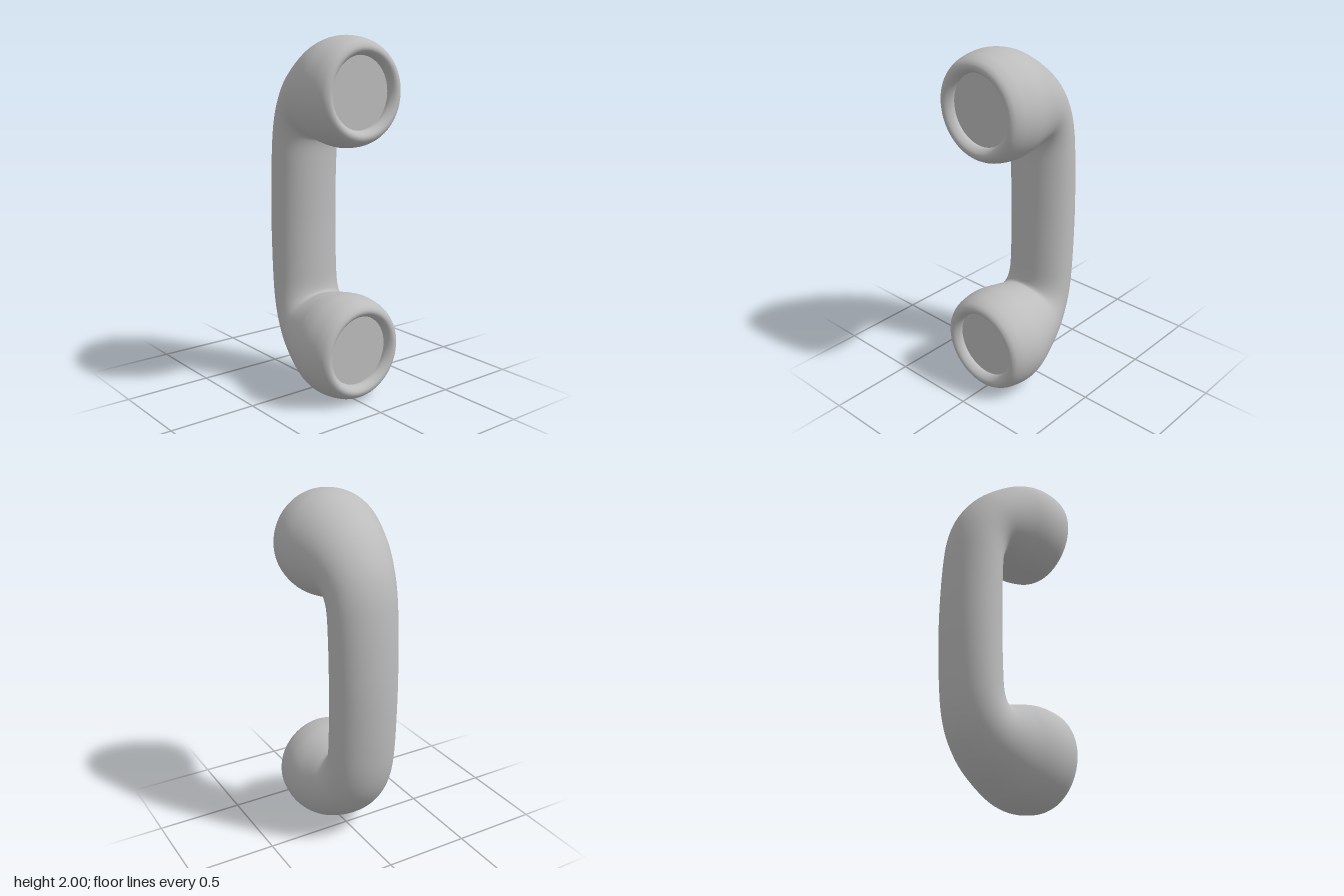
import * as THREE from 'three';

const grey = new THREE.MeshStandardMaterial({ color: 0xbcbcbc });
grey.name = 'plain grey';

const CUP_Y = 1.705; // height of the upper cup's centre
const DISC_R = 0.195;
const DISC_Z = 0.3;

// Round sections of the cup: [z, radius], from the recess over the lip to the widest point
const cup = [
  [DISC_Z, DISC_R], [0.32, 0.197], [0.34, 0.21], [0.35, 0.228],
  [0.345, 0.248], [0.325, 0.267], [0.28, 0.285], [0.2, 0.296],
];

// Oval sections of the bend and grip: [outer y, outer z, inner y, inner z, half width]
const bend = [
  [1.995, 0.13, 1.415, 0.13, 0.29],
  [1.97, 0.05, 1.425, 0.075, 0.271],
  [1.91, -0.05, 1.435, 0.03, 0.249],
  [1.83, -0.15, 1.443, 0.0, 0.228],
  [1.74, -0.225, 1.435, -0.013, 0.213],
  [1.64, -0.28, 1.41, -0.02, 0.204],
  [1.52, -0.315, 1.37, -0.024, 0.2],
  [1.38, -0.333, 1.3, -0.026, 0.199],
  [1.2, -0.345, 1.18, -0.028, 0.198],
];
const middle = [1.0, -0.35, 1.0, -0.03, 0.198];

function handsetGeometry(steps = 6, sides = 72) {
  const upper = [...cup.map(([z, r]) => [CUP_Y + r, z, CUP_Y - r, z, r]), ...bend];
  const lower = upper.map(([oy, oz, iy, iz, w]) => [2 - oy, oz, 2 - iy, iz, w]).reverse();
  const sections = [...upper, middle, ...lower];

  // Smooth curves through the outer edge, inner edge and width of the sections
  const curve = (f) => new THREE.CatmullRomCurve3(sections.map(f), false, 'catmullrom', 0.5);
  const outer = curve((s) => new THREE.Vector3(0, s[0], s[1]));
  const inner = curve((s) => new THREE.Vector3(0, s[2], s[3]));
  const width = curve((s) => new THREE.Vector3(s[4], 0, 0));

  const rings = (sections.length - 1) * steps;
  const positions = [];
  const index = [];
  for (let i = 0; i <= rings; i++) {
    const t = i / rings;
    const o = outer.getPoint(t);
    const n = inner.getPoint(t);
    const w = width.getPoint(t).x;
    const centre = o.clone().add(n).multiplyScalar(0.5);
    const half = o.sub(n).multiplyScalar(0.5);
    for (let j = 0; j < sides; j++) {
      const a = (j / sides) * Math.PI * 2;
      const s = Math.sin(a);
      positions.push(w * Math.cos(a), centre.y + half.y * s, centre.z + half.z * s);
      if (i < rings) {
        const p = i * sides + j;
        const q = i * sides + ((j + 1) % sides);
        index.push(p, p + sides, q, q, p + sides, q + sides);
      }
    }
  }
  const geometry = new THREE.BufferGeometry();
  geometry.setAttribute('position', new THREE.Float32BufferAttribute(positions, 3));
  geometry.setIndex(index);
  geometry.computeVertexNormals();
  return geometry;
}

export function createModel() {
  const group = new THREE.Group();
  group.name = 'handset';

  // Grip and both cups in one smooth sweep
  const body = new THREE.Mesh(handsetGeometry(), grey);
  body.name = 'handsetBody';
  group.add(body);

  // Flat discs recessed inside the cup lips
  for (const [name, y] of [['earpieceDisc', CUP_Y], ['mouthpieceDisc', 2 - CUP_Y]]) {
    const disc = new THREE.Mesh(new THREE.CircleGeometry(DISC_R, 72), grey);
    disc.name = name;
    disc.position.set(0, y, DISC_Z);
    group.add(disc);
  }
  return group;
}
